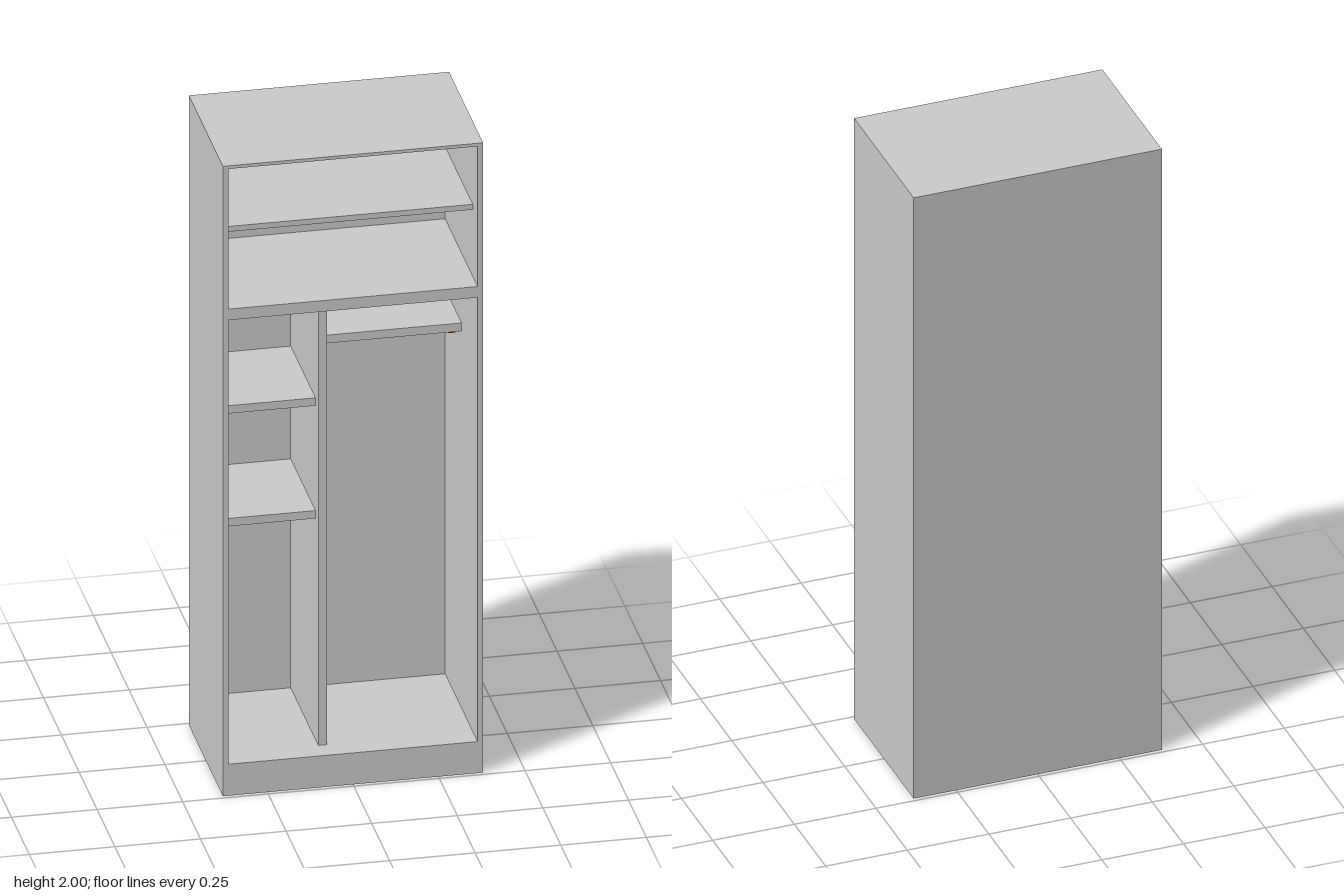
import * as THREE from 'three';

const grey = new THREE.MeshStandardMaterial({ color: 0xcccccc });
const bronze = new THREE.MeshStandardMaterial({ color: 0x9c5a1e });

const FRONT = 0.238, BACK = -0.238, INNER_BACK = -0.217;
const LEFT = -0.364, RIGHT = 0.364;          // inside faces of the side walls
const DIV_A = -0.087, DIV_B = -0.062;        // faces of the divider

// Box given by its limits on each axis
function slab(name, [x0, x1], [y0, y1], [z0, z1]) {
  const mesh = new THREE.Mesh(new THREE.BoxGeometry(x1 - x0, y1 - y0, z1 - z0), grey);
  mesh.position.set((x0 + x1) / 2, (y0 + y1) / 2, (z0 + z1) / 2);
  mesh.name = name;
  return mesh;
}

function rectangle(target, x0, x1, y0, y1) {
  target.moveTo(x0, y0);
  target.lineTo(x1, y0);
  target.lineTo(x1, y1);
  target.lineTo(x0, y1);
  target.closePath();
  return target;
}

export function createModel() {
  const wardrobe = new THREE.Group();
  wardrobe.name = 'wardrobe';

  // Carcass: plinth, sides, middle deck and top around two openings
  const outline = rectangle(new THREE.Shape(), -0.38, 0.38, 0, 2);
  for (const [y0, y1] of [[0.10, 1.51], [1.545, 1.99]]) {
    outline.holes.push(rectangle(new THREE.Path(), LEFT, RIGHT, y0, y1));
  }
  const carcass = new THREE.Mesh(
    new THREE.ExtrudeGeometry(outline, { depth: FRONT - INNER_BACK, bevelEnabled: false }), grey);
  carcass.position.z = INNER_BACK;
  carcass.name = 'carcass';
  wardrobe.add(carcass);

  // Back panel, divider and shelves
  wardrobe.add(
    slab('backPanel', [-0.38, 0.38], [0, 2], [BACK, INNER_BACK]),
    slab('divider', [DIV_A, DIV_B], [0.10, 1.51], [INNER_BACK, 0.17]),
    slab('topShelf', [LEFT, RIGHT], [1.757, 1.774], [INNER_BACK, 0.17]),
    slab('upperSideShelf', [LEFT, DIV_A], [1.16, 1.185], [INNER_BACK, 0.13]),
    slab('lowerSideShelf', [LEFT, DIV_A], [0.802, 0.827], [INNER_BACK, 0.13]),
    slab('hangingShelf', [DIV_B, RIGHT], [1.297, 1.323], [INNER_BACK, 0.013]),
  );

  // Clothes rail with a round holder at each end
  const rail = new THREE.Group();
  rail.name = 'clothesRail';
  const bar = new THREE.Mesh(
    new THREE.CylinderGeometry(0.006, 0.006, RIGHT - DIV_B, 16), grey);
  bar.rotation.z = Math.PI / 2;
  bar.position.x = (RIGHT + DIV_B) / 2;
  bar.name = 'railBar';
  rail.add(bar);
  for (const x of [DIV_B + 0.009, RIGHT - 0.009]) {
    const holder = new THREE.Mesh(new THREE.CylinderGeometry(0.014, 0.014, 0.018, 16), bronze);
    holder.rotation.z = Math.PI / 2;
    holder.position.x = x;
    holder.name = 'railHolder';
    rail.add(holder);
  }
  rail.position.set(0, 1.259, -0.09);
  wardrobe.add(rail);

  return wardrobe;
}
